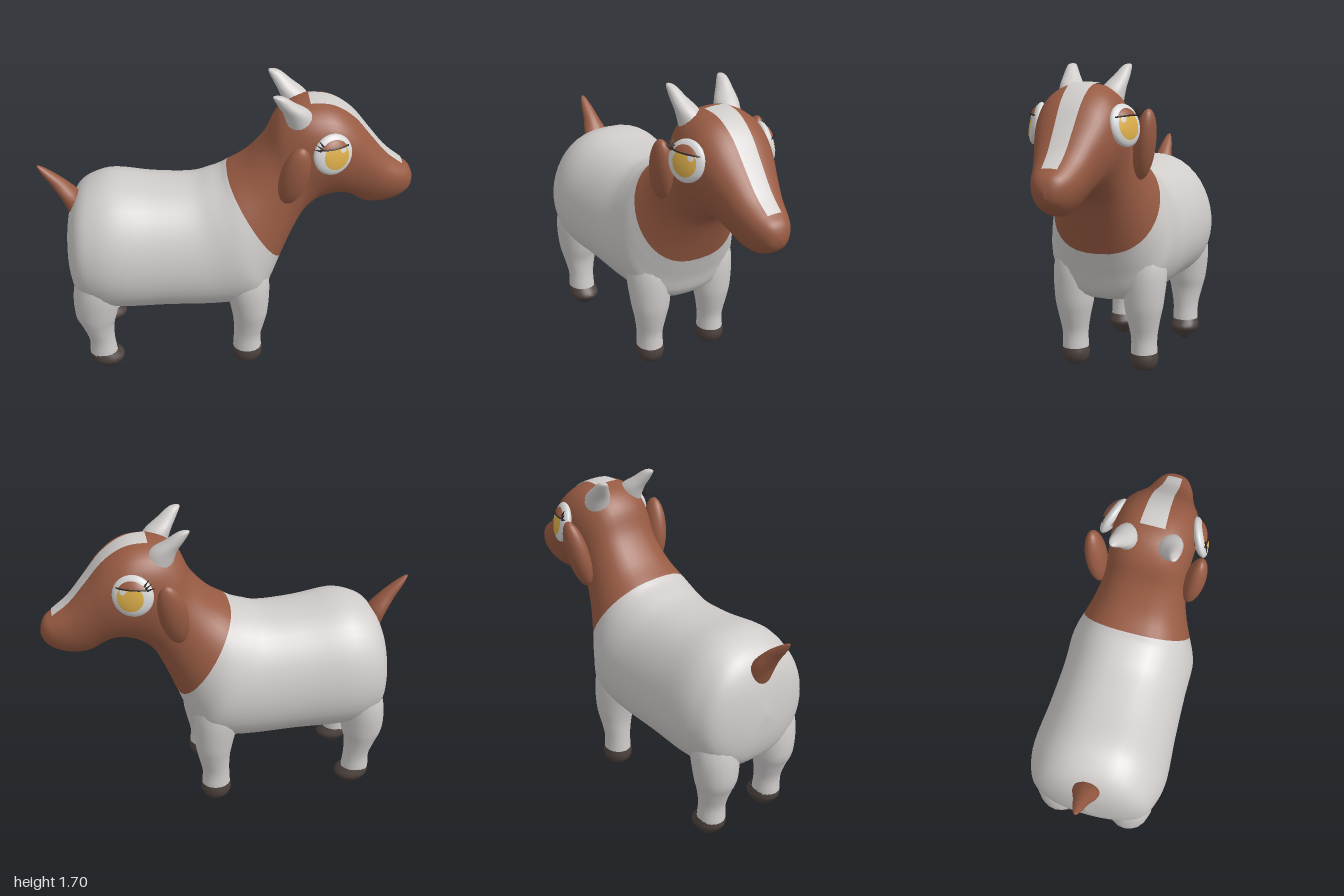
import * as THREE from 'three';

const mat = (name, color) => Object.assign(new THREE.MeshStandardMaterial({ color }), { name });

// Closed or open skin through fn(u, v) -> [x, y, z], u and v in 0..1
function skin(fn, nu, nv, closed = true) {
  const pos = [], idx = [], cols = closed ? nv : nv + 1;
  for (let i = 0; i <= nu; i++)
    for (let j = 0; j < cols; j++) pos.push(...fn(i / nu, j / nv));
  for (let i = 0; i < nu; i++)
    for (let j = 0; j < nv; j++) {
      const a = i * cols + j, b = i * cols + (j + 1) % cols, c = a + cols, d = b + cols;
      idx.push(a, b, c, b, d, c);
    }
  const g = new THREE.BufferGeometry();
  g.setAttribute('position', new THREE.Float32BufferAttribute(pos, 3));
  g.setIndex(idx);
  g.computeVertexNormals();
  return g;
}

const spline = pts => new THREE.CatmullRomCurve3(
  pts.map(p => new THREE.Vector3(...p)), false, 'catmullrom', 0.5);

// Limb from level rings listed top to bottom: [x, y, z, radiusX, radiusZ]
function limb(rings, nv = 18) {
  const centre = spline(rings.map(r => r.slice(0, 3)));
  const radii = spline(rings.map(r => [r[3], r[4], 0]));
  return skin((u, v) => {
    const c = centre.getPoint(u), r = radii.getPoint(u), a = v * Math.PI * 2;
    return [c.x + r.x * Math.cos(a), c.y, c.z + r.y * Math.sin(a)];
  }, (rings.length - 1) * 4, nv);
}

// Torso, neck and head sections: top x, top y, bottom x, bottom y, half width, top-heaviness
const sections = [
  [-0.875, 0.8, -0.88, 0.76, 0, 0],
  [-0.85, 0.95, -0.865, 0.6, 0.18, 0],
  [-0.8, 1.06, -0.82, 0.48, 0.3, -0.05],
  [-0.72, 1.12, -0.72, 0.425, 0.35, -0.08],
  [-0.6, 1.15, -0.58, 0.41, 0.37, -0.1],
  [-0.4, 1.125, -0.32, 0.41, 0.355, -0.1],
  [-0.2, 1.12, -0.03, 0.405, 0.345, -0.1],
  [-0.1, 1.145, 0.19, 0.44, 0.345, -0.08],
  [-0.04, 1.165, 0.25, 0.57, 0.325, -0.05],
  [0.0, 1.19, 0.3, 0.7, 0.295, -0.02],
  [0.1, 1.26, 0.36, 0.85, 0.25, 0],
  [0.2, 1.38, 0.42, 0.97, 0.22, 0],
  [0.26, 1.51, 0.49, 1.03, 0.215, 0.05],
  [0.35, 1.585, 0.56, 1.055, 0.22, 0.1],
  [0.46, 1.6, 0.61, 1.06, 0.22, 0.12],
  [0.56, 1.58, 0.65, 1.05, 0.21, 0.15],
  [0.66, 1.51, 0.69, 1.025, 0.185, 0.2],
  [0.75, 1.4, 0.73, 0.995, 0.155, 0.25],
  [0.84, 1.29, 0.78, 0.98, 0.13, 0.25],
  [0.92, 1.225, 0.85, 0.985, 0.11, 0.2],
  [0.97, 1.19, 0.92, 1.01, 0.085, 0.1],
  [0.992, 1.15, 0.975, 1.05, 0.05, 0],
  [1.0, 1.11, 0.998, 1.09, 0, 0],
];
const SPANS = sections.length - 1, COLLAR = 9, SQUARE = 0.8;
const topCurve = spline(sections.map(s => [s[0], s[1], s[4]]));
const lowCurve = spline(sections.map(s => [s[2], s[3], s[5]]));

function bodyPoint(u, angle, lift = 0) {
  const t = topCurve.getPoint(u), b = lowCurve.getPoint(u);
  const c = Math.cos(angle), s = Math.sin(angle);
  const f = (1 + c) / 2, len = Math.hypot(t.x - b.x, t.y - b.y) || 1;
  const g = f + lift / len;
  const z = Math.max(t.z, 0) * Math.sign(s) * Math.abs(s) ** SQUARE * (1 + b.z * c);
  return [b.x + (t.x - b.x) * g, b.y + (t.y - b.y) * g, z];
}

export function createModel() {
  const white = mat('whiteCoat', 0xcfccca), brown = mat('brownCoat', 0x985b43);
  const hoofMat = mat('hoof', 0x4c413d), gold = mat('goldIris', 0xdcae4a);
  const dark = mat('lash', 0x2c2422), eyeWhite = mat('eyeWhite', 0xd6d6d6);
  const goat = new THREE.Group();
  goat.name = 'goat';
  const add = (name, geo, material, parent = goat) => {
    const m = new THREE.Mesh(geo, material);
    m.name = name;
    parent.add(m);
    return m;
  };

  // Torso, neck and head in one skin, brown in front of the collar line
  const STEPS = 4, AROUND = 40;
  const body = skin((u, v) => bodyPoint(u, v * Math.PI * 2), SPANS * STEPS, AROUND);
  const split = COLLAR * STEPS * AROUND * 6;
  body.addGroup(0, split, 0);
  body.addGroup(split, body.index.count - split, 1);
  add('bodyAndHead', body, [white, brown]);

  // Blaze down the forehead and nose
  const u0 = 13.7 / SPANS, u1 = 19.2 / SPANS;
  add('blaze', skin((s, v) => {
    const u = u0 + (u1 - u0) * s, half = 0.066 - 0.026 * s;
    const z = (v * 2 - 1) * half, w = topCurve.getPoint(u).z * (1 + lowCurve.getPoint(u).z);
    const a = Math.sign(z) * Math.asin(Math.min(1, Math.abs(z) / w) ** (1 / SQUARE));
    return bodyPoint(u, a, 0.007);
  }, 30, 10, false), white).material.side = THREE.DoubleSide;

  // Tail
  add('tail', limb([[-1, 1.235, 0, 0, 0], [-0.985, 1.222, 0, 0.014, 0.014],
    [-0.945, 1.18, 0, 0.033, 0.03], [-0.89, 1.12, 0, 0.048, 0.045],
    [-0.835, 1.04, 0, 0.056, 0.07], [-0.81, 0.94, 0, 0.04, 0.06]]), brown);

  for (const s of [1, -1]) {
    const side = s > 0 ? 'left' : 'right', z = 0.2 * s;

    // Legs and hooves
    add(side + 'FrontLeg', limb([[0.08, 0.78, z, 0.1, 0.08], [0.1, 0.6, z, 0.125, 0.12],
      [0.12, 0.42, z, 0.105, 0.11], [0.12, 0.32, z, 0.088, 0.09],
      [0.11, 0.22, z, 0.076, 0.072], [0.11, 0.125, z, 0.08, 0.073]]), white);
    add(side + 'FrontHoof', limb([[0.11, 0.135, z, 0.08, 0.073], [0.11, 0.1, z, 0.085, 0.078],
      [0.11, 0.065, z, 0.074, 0.07], [0.11, 0.04, z, 0.045, 0.045], [0.11, 0.038, z, 0, 0]]), hoofMat);
    add(side + 'HindLeg', limb([[-0.68, 0.78, z, 0.1, 0.1], [-0.715, 0.58, z, 0.125, 0.13],
      [-0.73, 0.41, z, 0.118, 0.115], [-0.725, 0.32, z, 0.09, 0.095],
      [-0.71, 0.22, z, 0.072, 0.075], [-0.705, 0.125, z, 0.078, 0.075]]), white);
    add(side + 'HindHoof', limb([[-0.702, 0.135, z, 0.08, 0.075], [-0.685, 0.09, z, 0.097, 0.085],
      [-0.685, 0.05, z, 0.065, 0.06], [-0.69, 0.015, z, 0.025, 0.025], [-0.69, 0, z, 0, 0]]), hoofMat);

    // Horns
    add(side + 'Horn', limb([[0.235, 1.695, 0.155 * s, 0, 0], [0.255, 1.685, 0.152 * s, 0.03, 0.022],
      [0.3, 1.635, 0.137 * s, 0.05, 0.042], [0.355, 1.575, 0.115 * s, 0.072, 0.062],
      [0.385, 1.49, 0.105 * s, 0.075, 0.065]]), white);

    // Ears: the left hangs close, the right is cocked outward
    const ear = add(side + 'Ear', new THREE.SphereGeometry(1, 24, 18), brown);
    ear.scale.set(0.075, s > 0 ? 0.178 : 0.19, 0.055);
    ear.position.set(0.335, 1.29, s > 0 ? 0.258 : -0.272);
    ear.rotation.set(s > 0 ? 0.12 : -0.18, 0, -0.2);

    // Eye, built facing local +z
    const eye = new THREE.Group();
    eye.name = side + 'Eye';
    eye.position.set(0.53, 1.4, 0.232 * s);
    eye.lookAt(0.53 + 0.33, 1.4 + 0.22, (0.232 + 0.9) * s);
    goat.add(eye);
    add('eyeball', new THREE.SphereGeometry(0.108, 28, 18), eyeWhite, eye).scale.z = 0.35;
    const cap = (name, r, spread, tilt, turn, depth, m) => {
      const g = new THREE.SphereGeometry(r, 24, 8, 0, Math.PI * 2, 0, spread);
      g.rotateX(Math.PI / 2 - tilt).rotateY(turn).scale(1, 1, depth);
      return add(name, g, m, eye);
    };
    cap('iris', 0.109, 0.7, -0.08, 0.08 * s, 0.365, gold);
    cap('glint', 0.11, 0.17, 0.26, 0.42 * s, 0.372, eyeWhite);
    const lid = new THREE.SphereGeometry(0.094, 28, 12, 0, Math.PI * 2, 0, 1.12);
    add('upperLid', lid.scale(1, 1, 0.53), brown, eye);

    // Lash line under the lid, with three lashes at the rear corner
    const line = [];
    for (let i = 0; i <= 12; i++) {
      const a = Math.PI * i / 12;
      line.push([0.087 * Math.cos(a), 0.041, 0.047 * Math.sin(a)]);
    }
    add('lashLine', new THREE.TubeGeometry(spline(line), 24, 0.004, 6), dark, eye);
    for (let i = 0; i < 3; i++) {
      const lash = add('lash', new THREE.ConeGeometry(0.006, 0.05, 6), dark, eye);
      lash.position.set(-s * (0.102 - i * 0.012), 0.05 + i * 0.016, 0.03);
      lash.rotation.z = s * (1.15 - i * 0.3);
    }
  }
  return goat;
}
